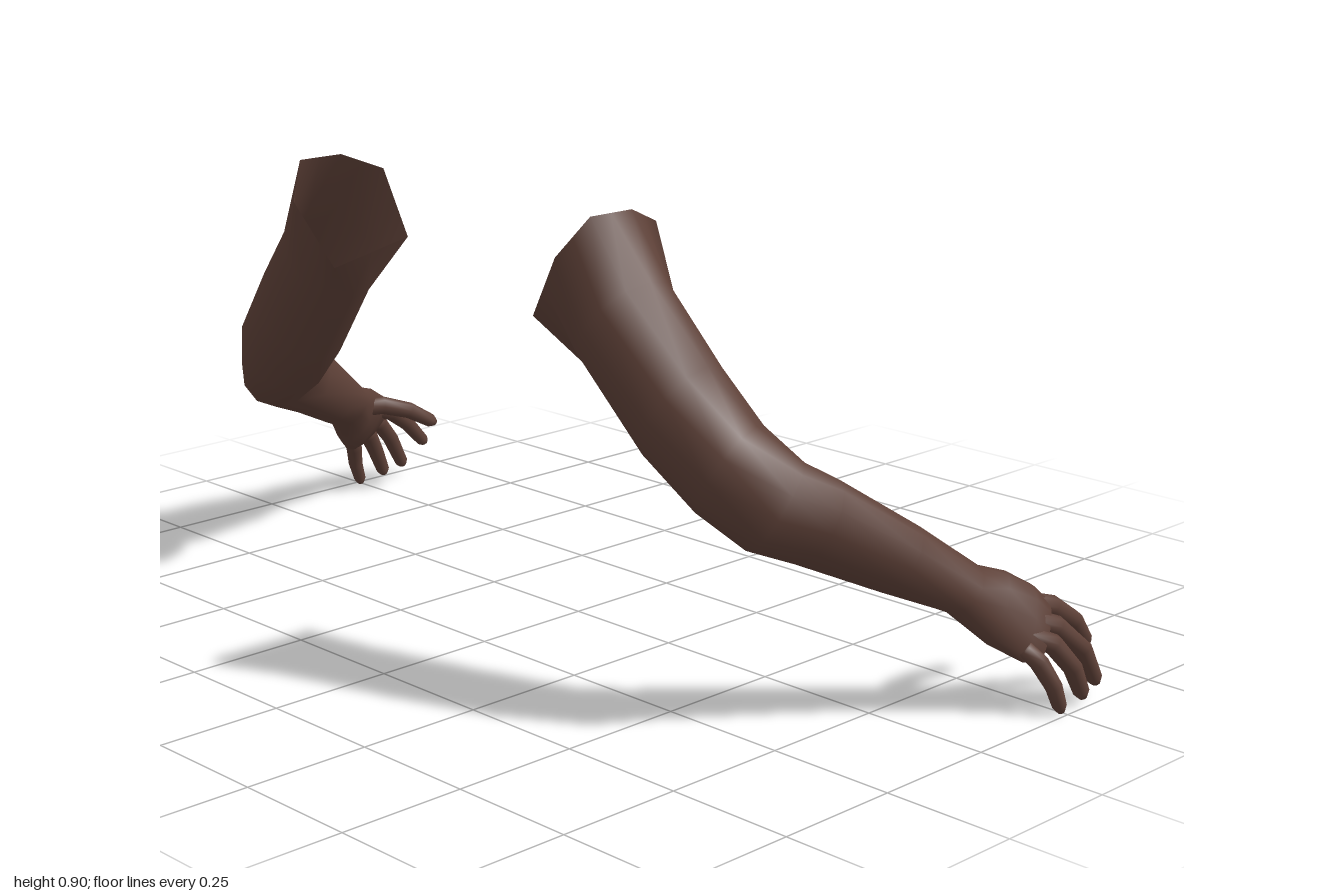
import * as THREE from 'three';

const V = (a) => new THREE.Vector3(...a);

// Skin a list of rings (each an array of Vector3); side = -1 mirrors in x
function loft(rings, side, capStart, capEnd) {
  const n = rings[0].length, pos = [], idx = [];
  const put = (p) => pos.push(p.x * side, p.y, p.z);
  const tri = (a, b, c) => (side > 0 ? idx.push(a, b, c) : idx.push(a, c, b));
  rings.forEach((r) => r.forEach(put));
  for (let i = 0; i < rings.length - 1; i++) {
    for (let k = 0; k < n; k++) {
      const a = i * n + k, b = i * n + (k + 1) % n;
      tri(a, a + n, b);
      tri(b, a + n, b + n);
    }
  }
  const cap = (i, end) => {
    const centre = rings[i].reduce((s, p) => s.add(p), new THREE.Vector3()).divideScalar(n);
    const c = pos.length / 3;
    put(centre);
    for (let k = 0; k < n; k++) {
      const a = i * n + k, b = i * n + (k + 1) % n;
      if (end) tri(a, c, b); else tri(a, b, c);
    }
  };
  if (capStart) cap(0, false);
  if (capEnd) cap(rings.length - 1, true);
  const g = new THREE.BufferGeometry();
  g.setAttribute('position', new THREE.Float32BufferAttribute(pos, 3));
  g.setIndex(idx);
  g.computeVertexNormals();
  return g;
}

// Elliptical ring from a centre and two half-axes
function ring(c, u, v, n, start = 0) {
  return Array.from({ length: n }, (_, k) => {
    const a = start + (k / n) * Math.PI * 2;
    return V(c).addScaledVector(V(u), Math.cos(a)).addScaledVector(V(v), Math.sin(a));
  });
}

// Six-cornered rim of the open sleeve end, with midpoints
const RIM = [[0.40, 0.90, 0.355], [0.40, 0.90, 0.255], [0.375, 0.865, 0.17],
  [0.28, 0.745, 0.19], [0.277, 0.71, 0.375], [0.362, 0.83, 0.402]];

// Centre, upward half-axis, inward half-axis, from upper arm to knuckles
const ARM = [
  [[0.41, 0.705, 0.28], [0.062, 0.082, 0], [0, 0, -0.104]],
  [[0.53, 0.565, 0.26], [0.06, 0.09, 0], [-0.01, 0, -0.098]],
  [[0.62, 0.475, 0.235], [0.052, 0.085, -0.01], [-0.03, 0, -0.088]],
  [[0.69, 0.415, 0.195], [0.03, 0.077, -0.04], [-0.06, 0, -0.057]],
  [[0.725, 0.38, 0.125], [0.027, 0.077, -0.025], [-0.065, 0, -0.035]],
  [[0.80, 0.30, -0.01], [0.025, 0.062, -0.02], [-0.055, 0, -0.03]],
  [[0.86, 0.235, -0.115], [0.013, 0.038, -0.03], [-0.042, 0.008, -0.018]],
  [[0.895, 0.198, -0.165], [-0.01, 0.058, -0.035], [-0.034, -0.01, -0.01]],
  [[0.925, 0.165, -0.215], [-0.022, 0.06, -0.036], [-0.025, -0.012, 0]],
  [[0.943, 0.146, -0.243], [-0.02, 0.047, -0.036], [-0.016, -0.01, 0]],
];

// Base, knuckle, joint and tip of each digit
const DIGITS = {
  thumb: [[0.885, 0.215, -0.165], [0.862, 0.219, -0.215], [0.842, 0.2, -0.275], [0.829, 0.162, -0.34]],
  indexFinger: [[0.912, 0.195, -0.235], [0.925, 0.178, -0.29], [0.936, 0.14, -0.345], [0.931, 0.083, -0.395]],
  middleFinger: [[0.93, 0.17, -0.225], [0.95, 0.15, -0.273], [0.972, 0.1, -0.325], [0.977, 0.025, -0.366]],
  ringFinger: [[0.938, 0.15, -0.205], [0.96, 0.125, -0.25], [0.98, 0.075, -0.287], [0.985, 0.013, -0.316]],
  littleFinger: [[0.945, 0.13, -0.185], [0.962, 0.1, -0.21], [0.982, 0.055, -0.229], [0.987, 0.004, -0.248]],
};

// Tapered digit following its joints, rounded off at the tip
function digit(points, size, side) {
  const p = points.map(V);
  const last = p.length - 1;
  const tip = p[last], dir = tip.clone().sub(p[last - 1]).normalize();
  const path = [p[0], p[1], p[2], tip.clone().addScaledVector(dir, -0.012), tip];
  const radii = [0.019, 0.02, 0.018, 0.015, 0.008];
  const rings = path.map((c, i) => {
    const t = path[Math.min(i + 1, 4)].clone().sub(path[Math.max(i - 1, 0)]).normalize();
    const v = new THREE.Vector3(-1, 0, 0).addScaledVector(t, t.x).normalize();
    const u = v.clone().cross(t).normalize();
    const r = radii[i] * size;
    return ring(c.toArray(), u.multiplyScalar(r).toArray(), v.multiplyScalar(r).toArray(), 8);
  });
  return loft(rings, side, true, true);
}

export function createModel() {
  const model = new THREE.Group();
  model.name = 'pairOfArms';
  const skin = new THREE.MeshStandardMaterial({ color: 0x5d4037, side: THREE.DoubleSide });
  skin.name = 'brownSkin';

  for (const [name, side] of [['left', 1], ['right', -1]]) {
    const arm = new THREE.Group();
    arm.name = name + 'Arm';
    const add = (part, geometry) => {
      const m = new THREE.Mesh(geometry, skin);
      m.name = name + part[0].toUpperCase() + part.slice(1);
      arm.add(m);
    };

    // Upper arm, forearm and palm as one skin, open at the shoulder
    const rim = RIM.flatMap((p, i) => [V(p), V(p).lerp(V(RIM[(i + 1) % 6]), 0.5)]);
    const rings = ARM.map(([c, u, v]) => ring(c, u, v, 12, -Math.PI / 6));
    add('armAndPalm', loft([rim, ...rings], side, false, true));

    // Thumb and fingers
    for (const [part, points] of Object.entries(DIGITS)) {
      add(part, digit(points, part === 'littleFinger' ? 0.88 : 1, side));
    }
    model.add(arm);
  }
  return model;
}
